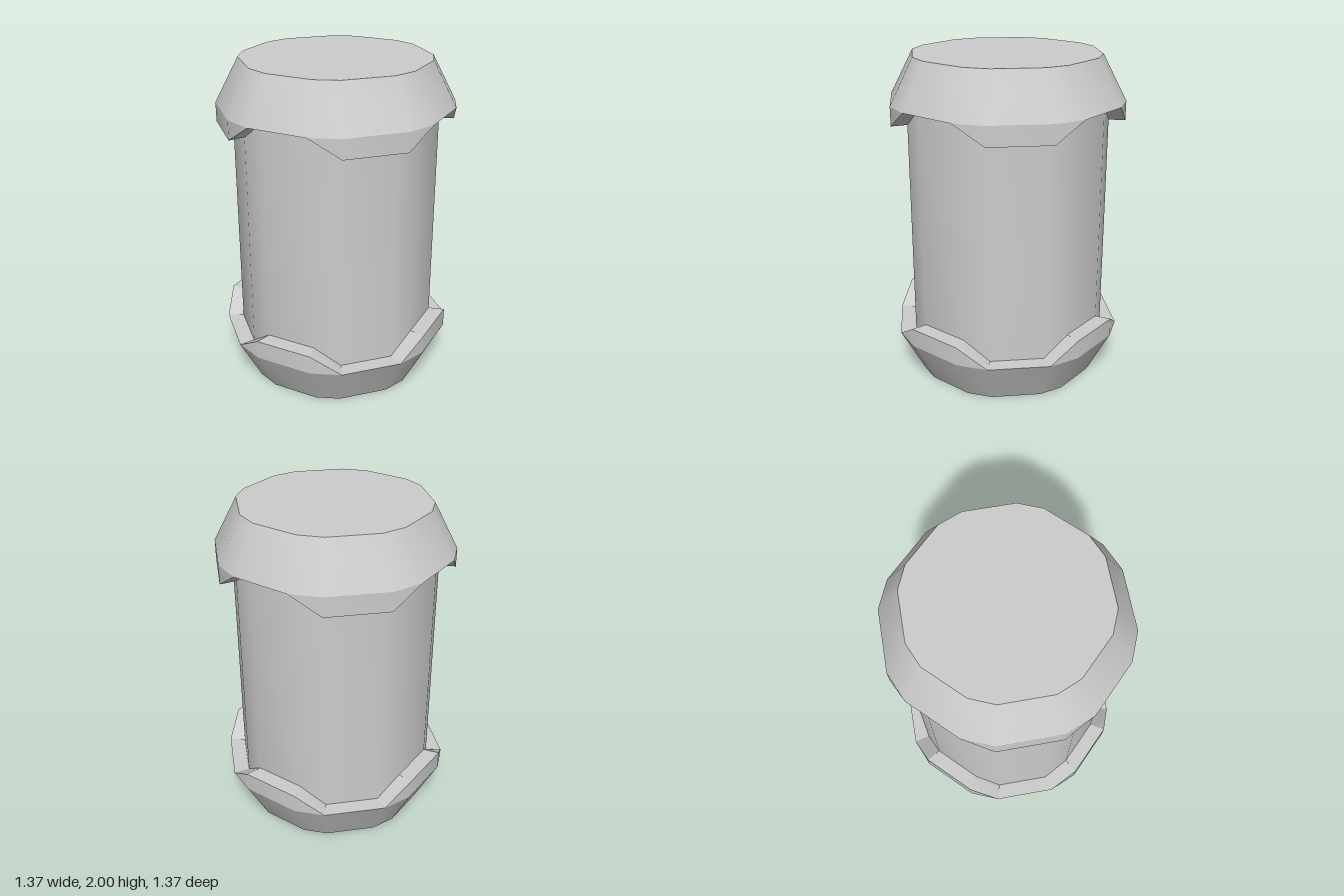
import * as THREE from 'three';
import { toCreasedNormals } from 'three/addons/utils/BufferGeometryUtils.js';

// Plan outline: 16 corners, with wide sides facing the axes and the diagonals
const QUADRANT = [[0.687, 0.187], [0.614, 0.36], [0.36, 0.614], [0.187, 0.687]];
const outline = [];
for (let q = 0; q < 4; q++) {
  for (const [x, z] of QUADRANT) {
    outline.push([[x, z], [-z, x], [-x, -z], [z, -x]][q]);
  }
}
const isDiagonal = (i) => i % 4 === 1 || i % 4 === 2;

// Edge heights of the two collars, varying around the outline
const baseEdge = (i) => (isDiagonal(i) ? 0.39 : 0.275);
const capEdge = (i) => (isDiagonal(i) ? 1.73 : 1.613);
const BODY = 0.862;
const END = 0.8;

// Skins a list of rings [scale, height or height(i)], running from bottom to top
function loft(rings) {
  const point = ([scale, height], i) => {
    const [x, z] = outline[i];
    const y = typeof height === 'function' ? height(i) : height;
    return new THREE.Vector3(x * scale, y, z * scale);
  };
  const positions = [];
  const addTriangle = (...corners) => {
    if (new THREE.Triangle(...corners).getArea() < 1e-6) return;
    for (const p of corners) positions.push(p.x, p.y, p.z);
  };
  for (let r = 0; r < rings.length - 1; r++) {
    for (let i = 0; i < outline.length; i++) {
      const j = (i + 1) % outline.length;
      const a = point(rings[r], i);
      const b = point(rings[r], j);
      const c = point(rings[r + 1], j);
      const d = point(rings[r + 1], i);
      addTriangle(a, d, c);
      addTriangle(a, c, b);
    }
  }
  const geometry = new THREE.BufferGeometry();
  geometry.setAttribute('position', new THREE.Float32BufferAttribute(positions, 3));
  return toCreasedNormals(geometry, 0.43);
}

export function createModel() {
  const group = new THREE.Group();
  group.name = 'canister';
  const material = new THREE.MeshStandardMaterial({ color: 0xcccccc });
  const add = (name, rings) => {
    const mesh = new THREE.Mesh(loft(rings), material);
    mesh.name = name;
    group.add(mesh);
  };

  // Flared foot with raised tabs on the diagonals
  add('baseCollar', [[0, 0], [END, 0], [1, 0.275], [1, baseEdge], [BODY, baseEdge]]);
  // Straight barrel between the collars
  add('body', [[BODY, baseEdge], [BODY, capEdge]]);
  // Tapered lid with hanging tabs on the four main sides
  add('topCollar', [[BODY, capEdge], [1, capEdge], [1, 1.73], [END, 2], [0, 2]]);

  return group;
}
